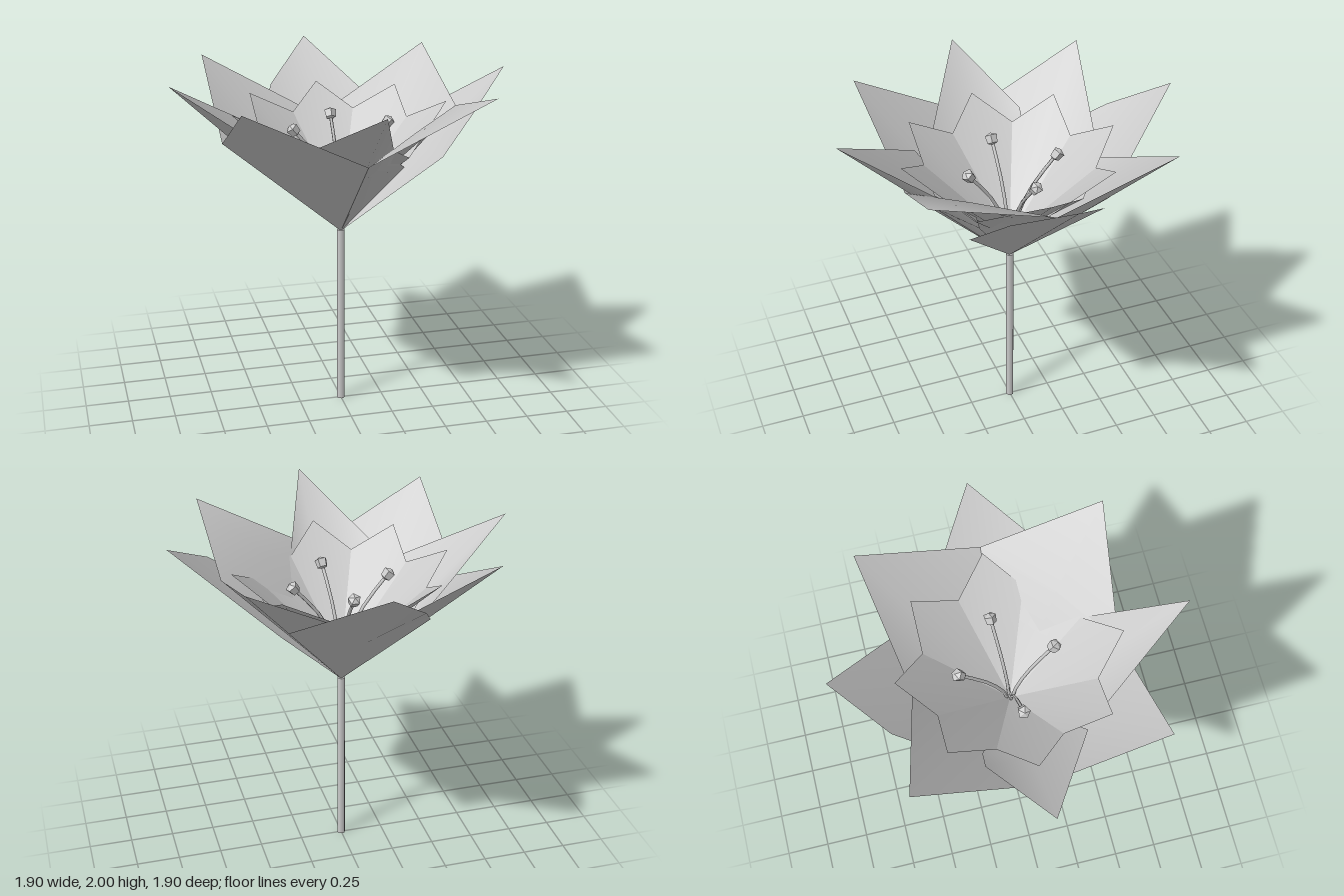
import * as THREE from 'three';

const BASE_Y = 1.07;
const grey = new THREE.MeshStandardMaterial({ color: 0xcccccc, side: THREE.DoubleSide });
const facetGrey = new THREE.MeshStandardMaterial({ color: 0xcccccc, flatShading: true });

// Petal folded along its spine. Edge points are [along, sideways, height],
// listed from the base to the tip; the plus side turns clockwise seen from below.
function petal(name, angle, { baseY, tip, midY, plus, minus }) {
  const c = Math.cos(angle), s = Math.sin(angle);
  const place = ([a, w, y]) => [a * c - w * s, y, a * s + w * c];
  const base = [0, 0, baseY];
  const mid = [tip[0] / 2, 0, midY ?? (baseY + tip[1]) / 2];
  const end = [tip[0], 0, tip[1]];
  // Rim runs out along the plus side and back along the minus side
  const rim = [base, ...plus, end, ...[...minus].reverse()];
  const index = rim.flatMap((_, i) => [0, i + 1, ((i + 1) % rim.length) + 1]);
  const geometry = new THREE.BufferGeometry();
  const points = [mid, ...rim].flatMap(place);
  geometry.setAttribute('position', new THREE.Float32BufferAttribute(points, 3));
  geometry.setIndex(index);
  geometry.computeVertexNormals();
  const mesh = new THREE.Mesh(geometry, grey);
  mesh.name = name;
  return mesh;
}

function outerPetals() {
  const group = new THREE.Group();
  group.name = 'outerPetals';
  // Petals along the axes: +x, +z, -x, -z
  const axial = [
    { tip: [0.95, 1.98], plus: [[0.47, 0.4, 1.6], [0.69, 0.26, 1.8]], minus: [[0.43, -0.38, 1.58]] },
    { tip: [0.95, 2.0], plus: [[0.44, 0.33, 1.68]], minus: [[0.28, -0.29, 1.52], [0.28, -0.24, 1.56]] },
    { tip: [0.95, 1.98], plus: [[0.4, 0.25, 1.55], [0.52, 0.26, 1.7]], minus: [[0.44, -0.31, 1.66]] },
    { tip: [0.95, 2.0], plus: [[0.42, 0.4, 1.62]], minus: [[0.42, -0.38, 1.6], [0.69, -0.26, 1.78]] },
  ];
  // Side corners shared by neighbouring diagonal petals: [reach, height]
  const corners = [[0.67, 1.77], [0.6, 1.64], [0.67, 1.64], [0.535, 1.61]];
  const corner = (i, side) => {
    const [r, y] = corners[i % 4];
    return [r * Math.SQRT1_2, side * r * Math.SQRT1_2, y];
  };
  for (let i = 0; i < 4; i++) {
    const angle = i * Math.PI / 2;
    group.add(petal('outerAxialPetal', angle, { baseY: BASE_Y, ...axial[i] }));
    group.add(petal('outerDiagonalPetal', angle + Math.PI / 4, {
      baseY: BASE_Y,
      tip: [0.95, 1.985],
      midY: i === 0 ? 1.73 : undefined, // one petal cups upward
      plus: [corner(i + 1, 1)],
      minus: [corner(i, -1)],
    }));
  }
  return group;
}

function innerPetals() {
  const group = new THREE.Group();
  group.name = 'innerPetals';
  for (let i = 0; i < 8; i++) {
    group.add(petal('innerPetal', i * Math.PI / 4, {
      baseY: 1.2, tip: [0.615, 1.8],
      plus: [[0.308, 0.308, 1.58]], minus: [[0.308, -0.308, 1.58]],
    }));
  }
  return group;
}

// Curved filament with a small faceted anther on its end
function stamen(x, z, y) {
  const group = new THREE.Group();
  group.name = 'stamen';
  const curve = new THREE.CatmullRomCurve3([
    new THREE.Vector3(0, BASE_Y + 0.02, 0),
    new THREE.Vector3(x * 0.15, 1.32, z * 0.15),
    new THREE.Vector3(x * 0.5, 1.52, z * 0.5),
    new THREE.Vector3(x, y, z),
  ]);
  const filament = new THREE.Mesh(new THREE.TubeGeometry(curve, 6, 0.01, 5), grey);
  filament.name = 'filament';
  const profile = [[0, -0.035], [0.03, -0.022], [0.036, 0.022], [0, 0.038]];
  const anther = new THREE.Mesh(
    new THREE.LatheGeometry(profile.map(([r, h]) => new THREE.Vector2(r, h)), 5), facetGrey);
  anther.name = 'anther';
  anther.position.set(x, y, z);
  anther.quaternion.setFromUnitVectors(new THREE.Vector3(0, 1, 0), curve.getTangent(1));
  group.add(filament, anther);
  return group;
}

export function createModel() {
  const model = new THREE.Group();
  model.name = 'flower';

  const stem = new THREE.Mesh(new THREE.CylinderGeometry(0.023, 0.023, BASE_Y + 0.01, 8), grey);
  stem.name = 'stem';
  stem.position.y = (BASE_Y + 0.01) / 2;
  model.add(stem, outerPetals(), innerPetals());

  for (const [x, z] of [[0.28, -0.04], [0.045, 0.25], [-0.27, 0.005], [0.005, -0.275]]) {
    model.add(stamen(x, z, 1.69));
  }
  return model;
}
